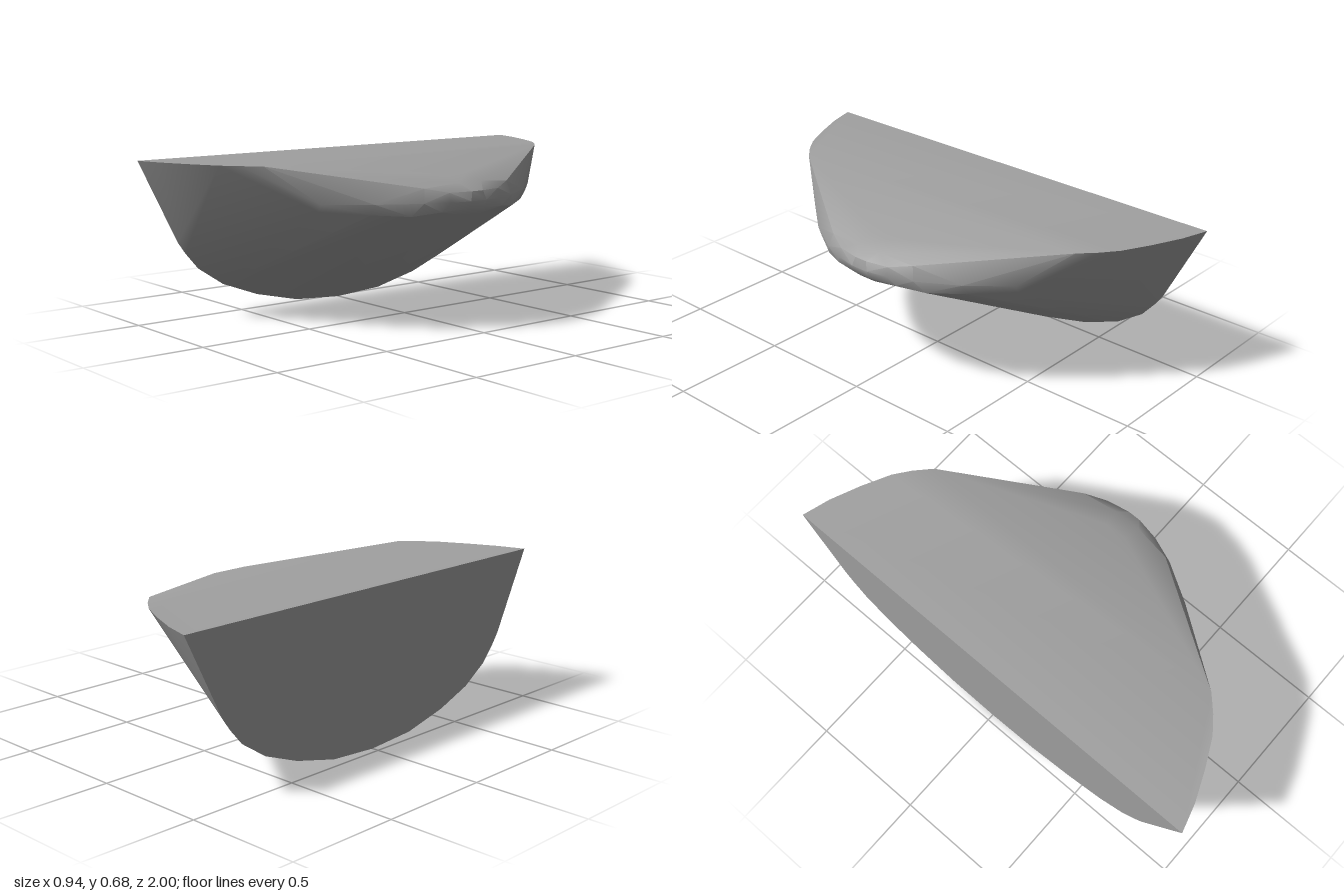
import * as THREE from 'three';
import { ConvexGeometry } from 'three/addons/geometries/ConvexGeometry.js';
import { toCreasedNormals } from 'three/addons/utils/BufferGeometryUtils.js';

// Half outlines as [x, y, z]; each is mirrored across z = 0
const backArc = [
  [-0.47, 0, 0], [-0.47, 0.015, 0.23], [-0.47, 0.065, 0.44], [-0.47, 0.13, 0.61],
  [-0.47, 0.21, 0.73], [-0.47, 0.28, 0.79], [-0.47, 0.33, 0.825],
];
const topRim = [
  [-0.47, 0.68, 1], [-0.35, 0.68, 0.965], [-0.22, 0.68, 0.91], [-0.1, 0.68, 0.85],
  [-0.03, 0.68, 0.797], [0.035, 0.68, 0.735],
];
const noseRings = [
  // upper edge
  [0.33, 0.625, 0.05], [0.41, 0.6, 0.06], [0.39, 0.587, 0.22],
  [0.455, 0.568, 0.03], [0.435, 0.568, 0.13],
  // widest edge
  [0.465, 0.53, 0.04], [0.445, 0.53, 0.13], [0.405, 0.53, 0.235],
  [0.305, 0.53, 0.4], [0.17, 0.53, 0.56],
  // lower edge
  [0.455, 0.5, 0.04], [0.425, 0.492, 0.16], [0.42, 0.47, 0.04],
  [0.37, 0.478, 0.27], [0.285, 0.487, 0.405], [0.155, 0.5, 0.56],
];

export function createModel() {
  const grey = new THREE.MeshStandardMaterial({ color: 0xa0a0a0 });
  grey.name = 'stone grey';

  const points = [];
  for (const [x, y, z] of [...backArc, ...topRim, ...noseRings]) {
    points.push(new THREE.Vector3(x, y, z));
    if (z > 0) points.push(new THREE.Vector3(x, y, -z));
  }

  // Solid wedge with a rounded nose, flat back and flat top
  const hull = new THREE.Mesh(toCreasedNormals(new ConvexGeometry(points), 0.6), grey);
  hull.name = 'wedgeBody';

  const model = new THREE.Group();
  model.name = 'roundedWedge';
  model.add(hull);
  return model;
}
